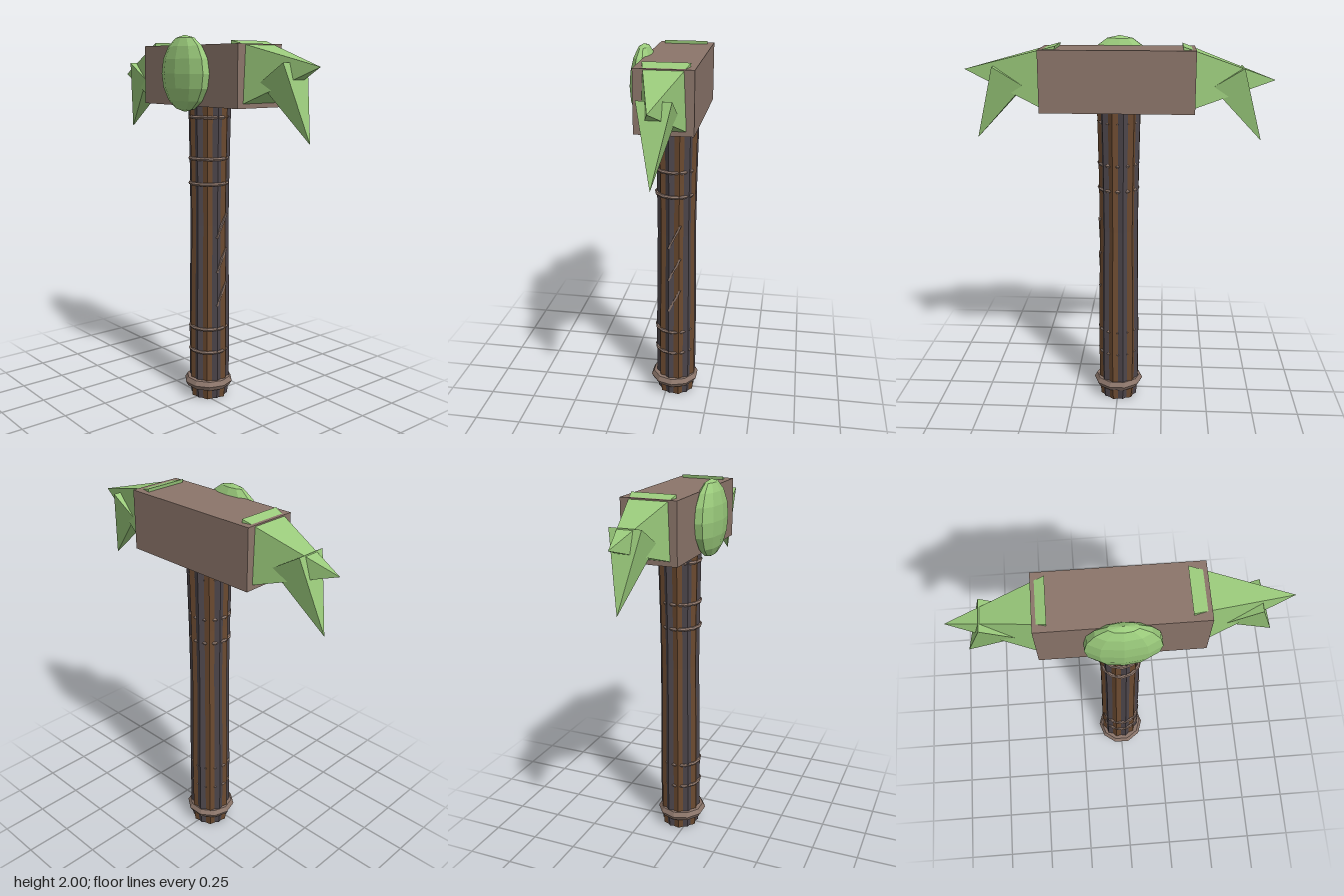
import * as THREE from 'three';

const mat = (name, color) => {
  const m = new THREE.MeshStandardMaterial({ color, flatShading: true });
  m.name = name;
  return m;
};

export function createModel() {
  const group = new THREE.Group();
  const stone = mat('stone', 0x8b756a);
  const green = mat('crystalGreen', 0x9aca7b);
  const brown = mat('woodBrown', 0x6b4a30);
  const dark = mat('woodDark', 0x4d464b);
  const Z = -0.045; // shared centre depth of head and handle

  const add = (name, geo, material, x = 0, y = 0, z = 0) => {
    const m = new THREE.Mesh(geo, material);
    m.name = name;
    m.position.set(x, y, z);
    group.add(m);
    return m;
  };

  // Four-sided spike: outline edge (top, bottom) in x/y, spread by half depth, meeting at a tip
  const spike = (name, side, top, bottom, halfDepth, tip) => {
    const v = ([x, y], z) => new THREE.Vector3(side * x, y, Z + z);
    const base = [v(top, halfDepth), v(bottom, halfDepth), v(bottom, -halfDepth), v(top, -halfDepth)];
    const apex = v(tip, 0);
    const faces = [[base[0], base[1], base[2]], [base[0], base[2], base[3]]];
    for (let i = 0; i < 4; i++) faces.push([base[i], apex, base[(i + 1) % 4]]);
    // orient every face away from the spike's middle
    const mid = base.reduce((s, p) => s.add(p), apex.clone()).divideScalar(5);
    const pts = [];
    for (const [a, b, c] of faces) {
      const n = b.clone().sub(a).cross(c.clone().sub(a));
      pts.push(...(n.dot(a.clone().sub(mid)) > 0 ? [a, b, c] : [a, c, b]));
    }
    const geo = new THREE.BufferGeometry().setFromPoints(pts);
    geo.computeVertexNormals();
    add(name, geo, green);
  };

  // Hammer head
  add('head', new THREE.BoxGeometry(0.78, 0.31, 0.29), stone, 0, 1.795, Z);

  // Main end spikes, slightly different on each side, and the hooked spikes below
  spike('leftSpike', 1, [0.305, 1.967], [0.36, 1.65], 0.116, [0.79, 1.84]);
  spike('rightSpike', -1, [0.325, 1.967], [0.36, 1.655], 0.116, [0.795, 1.795]);
  for (const side of [1, -1])
    spike(side > 0 ? 'leftHook' : 'rightHook', side, [0.632, 1.86], [0.475, 1.765], 0.081, [0.738, 1.485]);

  // Faceted gem on the front
  const gem = new THREE.SphereGeometry(1, 10, 8).rotateY(Math.PI / 2).scale(0.185, 0.195, 0.066);
  add('gem', gem, green, 0, 1.805, 0.12);

  // Handle: two six-sided shafts turned against each other to give alternating strips
  const shaft = (name, material, phi, bottom) => {
    const profile = [[0, bottom], [0.103, bottom], [0.112, 0.12], [0.112, 0.4], [0.105, 1.0], [0.108, 1.3], [0.115, 1.66], [0, 1.66]]
      .map(([r, y]) => new THREE.Vector2(r, y));
    add(name, new THREE.LatheGeometry(profile, 6, phi), material, -0.005, 0, -0.05);
  };
  shaft('handleDarkStrips', dark, Math.PI / 12, 0.003);
  shaft('handleBrownStrips', brown, -Math.PI / 12, 0);

  // Binding rings and pommel ring
  const ring = (name, y, radius, tube, sides, steps) =>
    add(name, new THREE.TorusGeometry(radius, tube, sides, steps).rotateX(Math.PI / 2), stone, -0.002, y, -0.042);
  [0.28, 0.415, 1.225, 1.36, 1.58].forEach((y, i) => ring('bindingRing' + (i + 1), y, 0.102, 0.01, 6, 12));
  ring('pommelRing', 0.088, 0.108, 0.029, 6, 10);

  // Slanted stitches on the left side of the handle
  [0.615, 0.805, 0.997].forEach((y, i) => {
    const s = add('stitch' + (i + 1), new THREE.BoxGeometry(0.016, 0.148, 0.01), stone, 0.094, y, -0.052);
    s.rotation.x = -0.45;
  });

  return group;
}
